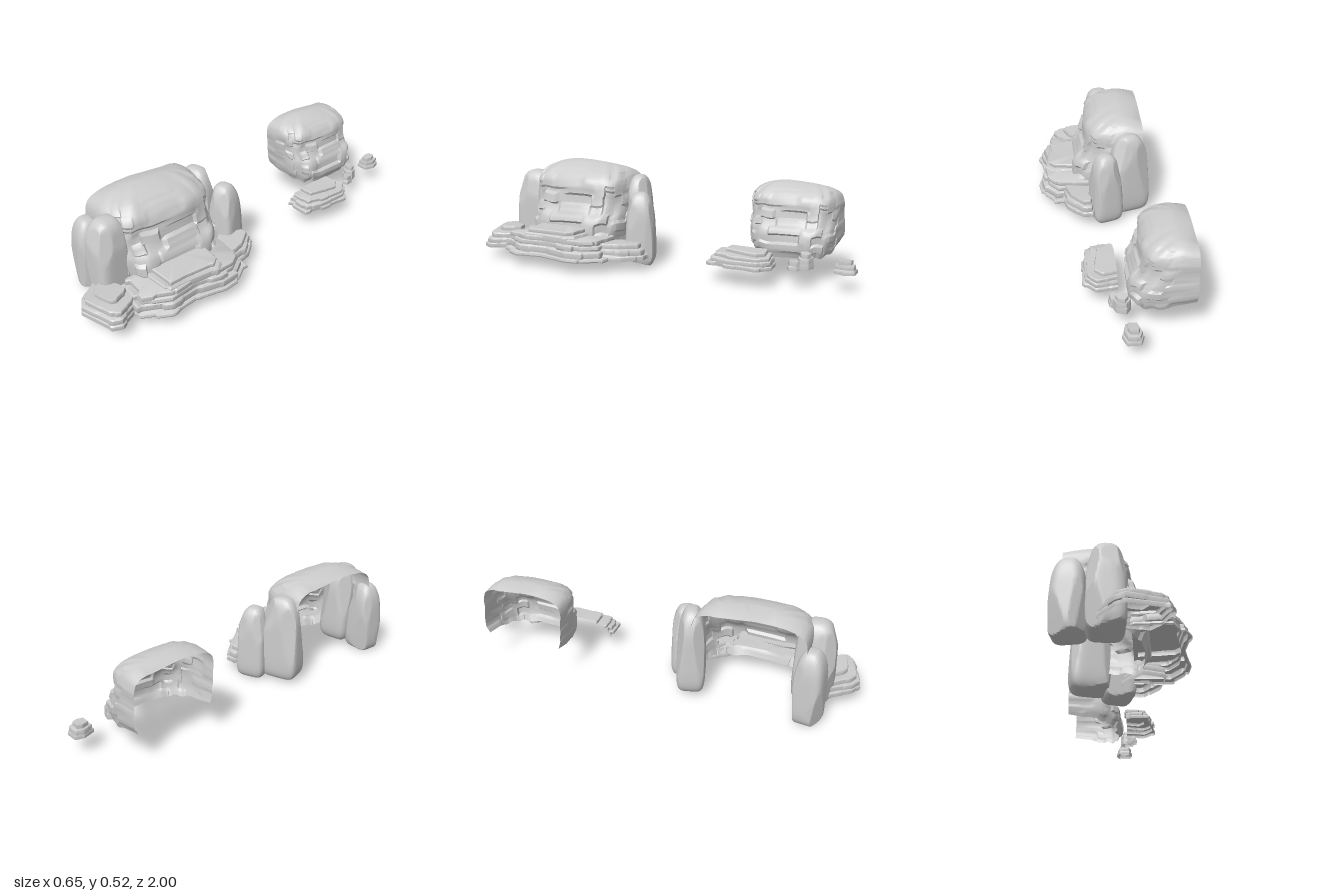
import * as THREE from 'three';
import { toCreasedNormals } from 'three/addons/utils/BufferGeometryUtils.js';

const solid = new THREE.MeshStandardMaterial({ color: 0xcccccc });
const shell = new THREE.MeshStandardMaterial({ color: 0xcccccc, side: THREE.DoubleSide });

// Repeatable value in 0..1 from three numbers
const hash = (a, b, c = 0) => {
  const s = Math.sin(a * 127.1 + b * 311.7 + c * 74.7) * 43758.5453;
  return s - Math.floor(s);
};
// Chipped block pattern: every stratum is broken into pieces set back by different amounts
const chip = (s, band, pieces, seed) => hash(Math.floor(s * pieces + hash(band, 3, seed)), band, seed);

function addMesh(group, name, geometry, material, crease = 0.55) {
  const mesh = new THREE.Mesh(toCreasedNormals(geometry, crease), material);
  mesh.name = name;
  group.add(mesh);
  return mesh;
}

// Skin over rings that run upwards, closed by a fan to the top point
function skin(rings, top) {
  const n = rings[0].length, pos = [], index = [];
  rings.forEach(r => r.forEach(p => pos.push(...p)));
  const tip = pos.length / 3;
  pos.push(...top);
  rings.forEach((r, j) => {
    for (let i = 0; i < n - 1; i++) {
      const a = j * n + i;
      if (j === rings.length - 1) index.push(a, tip, a + 1);
      else index.push(a, a + n, a + 1, a + 1, a + n, a + n + 1);
    }
  });
  const g = new THREE.BufferGeometry();
  g.setAttribute('position', new THREE.Float32BufferAttribute(pos, 3));
  g.setIndex(index);
  return g;
}

// Cliff: half dome, open at the back (x = 0) and below; levels are height, depth, half width
function cliff(seed) {
  const levels = [[.07, .355, .26], [.13, .375, .275], [.2, .375, .282], [.24, .365, .283], [.275, .335, .283],
    [.31, .318, .283], [.38, .303, .283], [.43, .29, .276], [.465, .26, .262], [.492, .215, .23],
    [.512, .16, .17], [.522, .1, .08]];
  const path = new THREE.CatmullRomCurve3(levels.map(l => new THREE.Vector3(...l)), false, 'centripetal');
  const N = 96, M = 52;
  const rings = path.getSpacedPoints(M).map((l, j) => {
    const t = j / M, band = Math.floor(t * 13), ring = [];
    for (let i = 0; i <= N; i++) {
      const a = (i / N - .5) * Math.PI, c = Math.max(0, Math.cos(a)), s = Math.sin(a);
      const rough = t < .5 ? .085 : .04;
      const k = 1.012 - rough * chip(i / N, band, 11, seed) + .012 * Math.sin(i * .3 + j * .25);
      const x = l.y * k * Math.pow(c, .5);
      // The far end stays square almost up to the crown
      const half = s < 0 ? THREE.MathUtils.lerp(l.z, .275, .55 * t) : l.z;
      const z = half * (1 + (k - 1) * .45) * Math.sign(s) * Math.pow(Math.abs(s), .5) + .04 * t * t;
      // Crown falls away to the back and to both ends
      const drop = (2.2 * Math.max(0, .12 - x) ** 2 + (z > .07 ? .9 : .38) * (z - .07) ** 2) * t * t;
      const lift = .07 * (1 - Math.min(1, x / .36)) * (1 - t) ** 3;
      ring.push([x, l.x - drop + lift + .006 * Math.sin(i * .45) * (1 - t), z]);
    }
    return ring;
  });
  return skin(rings, [0, .49, .04]);
}

// Stepped ledge: an outline drawn in towards an anchor at each step, open below
function ledge(outline, anchor, heights, scales, seed, closed = true, pieces = 9) {
  const pts = outline.map(p => new THREE.Vector2(...p));
  if (closed) pts.push(pts[0].clone());
  const path = new THREE.Path(pts).getSpacedPoints(72);
  const rings = [];
  scales.forEach((s, k) => {
    const y0 = heights[k], h = heights[k + 1] - y0;
    for (const [f, inset] of [[0, .01], [.3, 0], [.8, .008], [1, .04]]) {
      rings.push(path.map((p, i) => {
        const u = (i % 72) / 72;
        const r = s * (1.01 - inset - .09 * chip(u, k, pieces, seed));
        const tilt = k ? .15 * h * Math.sin(u * 2 * Math.PI + seed + k) : 0;
        return [anchor[0] + (p.x - anchor[0]) * r, y0 + h * f + tilt, anchor[1] + (p.y - anchor[1]) * r];
      }));
    }
  });
  return skin(rings, [anchor[0], heights[heights.length - 1], anchor[1]]);
}

// Boulder: blocky below and rounded on top, tapered upwards, with a few planes sliced off
function boulder([cx, cy, cz], [rx, ry, rz], taper, yaw, seed) {
  const g = new THREE.IcosahedronGeometry(1, 14), p = g.attributes.position, v = new THREE.Vector3();
  const planes = Array.from({ length: 9 }, (_, i) => {
    const a = i * 2.4 + seed, y = hash(i, seed) * 1.2 - .4;
    return [new THREE.Vector3(Math.cos(a), y, Math.sin(a)).normalize(), 1 + .1 * hash(seed, i)];
  });
  planes.push([new THREE.Vector3(.12, -1, .08).normalize(), .97]);
  for (let i = 0; i < p.count; i++) {
    v.fromBufferAttribute(p, i);
    const e = 5.2 - 2.3 * THREE.MathUtils.smoothstep(v.y, -.6, .8);
    v.multiplyScalar(Math.pow(Math.abs(v.x) ** e + Math.abs(v.y) ** e + Math.abs(v.z) ** e, -1 / e));
    for (const [n, d] of planes) {
      const over = v.dot(n) - d;
      if (over > 0) v.addScaledVector(n, -over);
    }
    const w = 1 - taper * v.y;
    p.setXYZ(i, v.x * rx * w, v.y * ry, v.z * rz * w);
  }
  g.deleteAttribute('normal');
  return g.rotateY(yaw).translate(cx, cy, cz);
}

export function createModel() {
  const model = new THREE.Group();
  model.name = 'rockFormation';

  // Large cliff and its smaller copy behind
  const dome = cliff(4);
  addMesh(model, 'frontCliff', dome, shell).position.set(-.23, 0, .49);
  const rear = addMesh(model, 'rearCliff', dome, shell);
  rear.scale.setScalar(.78);
  rear.position.set(-.328, .065, -.645);

  // Boulders at both ends of the large cliff: centre, radii, taper, yaw, seed
  const boulders = [
    ['frontTallBoulder', [-.04, .24, .785], [.087, .217, .098], .05, .1, 2],
    ['frontLowBoulder', [-.195, .194, .8], [.078, .192, .072], .1, -.1, 5],
    ['rearLowBoulder', [-.022, .194, .125], [.075, .192, .073], .1, .35, 8],
    ['rearTallBoulder', [-.15, .235, .2], [.1, .22, .068], .09, .3, 11],
  ];
  for (const [name, ...spec] of boulders) addMesh(model, name, boulder(...spec), solid, .35);

  // Stepped ledges at the foot of the large cliff
  addMesh(model, 'frontLedge', ledge(
    [[-.08, .88], [0, .8], [.15, .75], [.2, .8], [.25, .9], [.23, .95], [.05, 1.005], [0, .98]],
    [.07, .85], [.06, .085, .112, .138, .163], [1, .94, .86, .55], 1), shell);
  addMesh(model, 'middleLedge', ledge(
    [[.06, .19], [.25, .19], [.31, .27], [.325, .38], [.3, .52], [.325, .68], [.25, .83], [.06, .82]],
    [.06, .5], [.06, .08, .115, .14, .165], [1, .95, .92, .86], 2, false), shell);
  addMesh(model, 'upperLedge', ledge(
    [[.08, .34], [.26, .35], [.295, .39], [.28, .56], [.285, .67], [.08, .69]],
    [.08, .51], [.14, .178, .198], [1, .88], 12, false, 5), shell);
  addMesh(model, 'rearLedge', ledge(
    [[0, .2], [.05, .04], [.1, .035], [.19, .14], [.22, .28], [.1, .33]],
    [.09, .2], [.06, .085, .115, .14], [1, .92, .78], 3), shell);

  // Ledge and loose stones beside the smaller cliff
  addMesh(model, 'smallLedge', ledge(
    [[-.01, -.62], [.1, -.64], [.155, -.58], [.145, -.42], [.12, -.31], [-.01, -.305]],
    [-.01, -.52], [.09, .11, .132, .15, .168], [1, .94, .86, .62], 6, false), shell);
  addMesh(model, 'looseStoneUpper', ledge(
    [[-.055, -.77], [-.03, -.805], [.015, -.79], [.03, -.75], [0, -.73], [-.035, -.735]],
    [-.01, -.765], [.095, .125, .15, .17], [1, .95, .7], 7, true, 6), shell);
  addMesh(model, 'looseStoneLower', ledge(
    [[-.02, -.73], [.01, -.76], [.04, -.74], [.045, -.7], [.02, -.685]],
    [.015, -.722], [.09, .11, .135], [1, .85], 9, true, 5), shell);
  addMesh(model, 'farStone', ledge(
    [[-.088, -.96], [-.072, -1.003], [-.01, -1.003], [.008, -.95], [-.005, -.9], [-.07, -.895]],
    [-.04, -.95], [.09, .11, .132, .152], [1, .86, .58], 10, true, 7), shell);

  return model;
}
